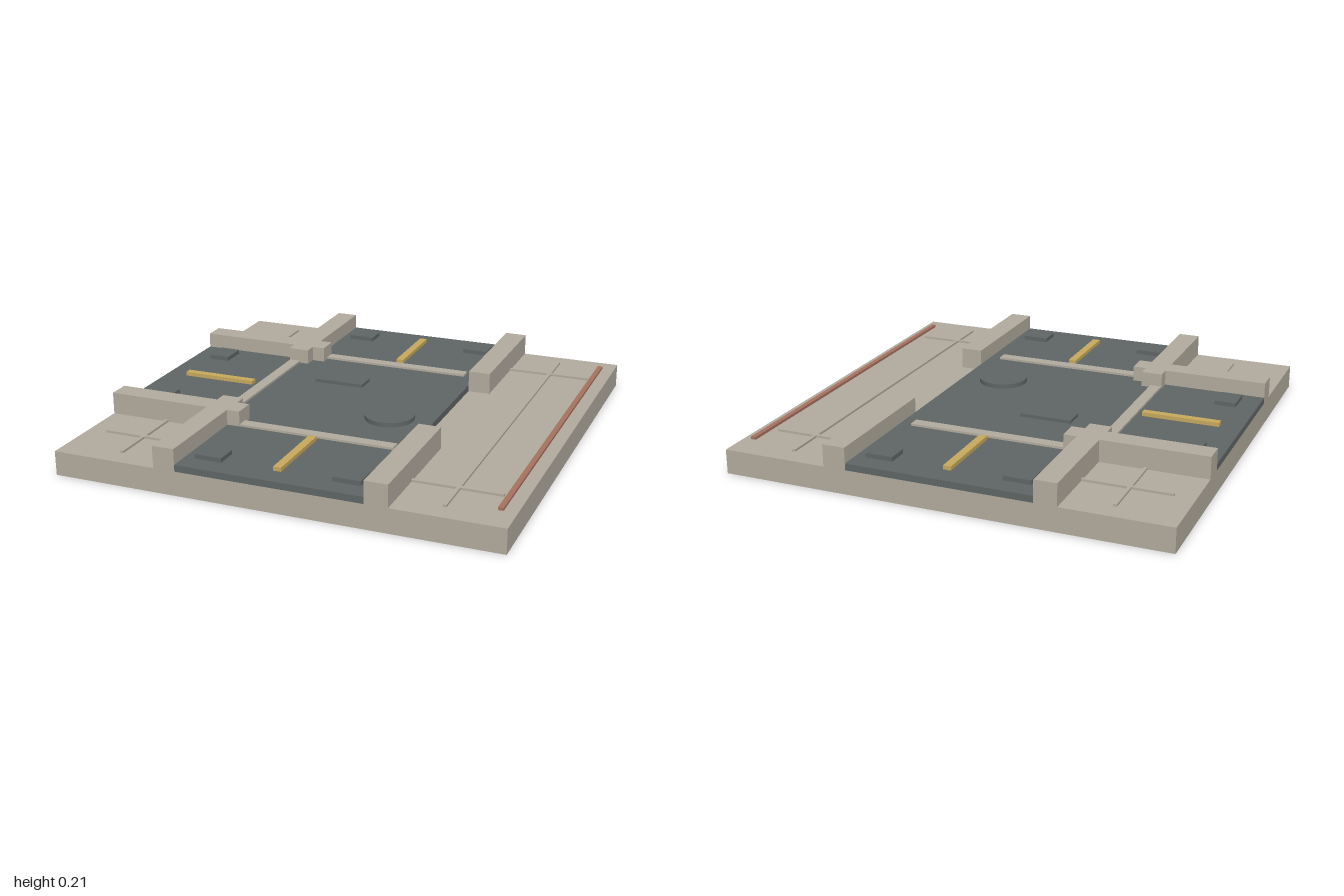
import * as THREE from 'three';

const mat = (name, color) => {
  const m = new THREE.MeshStandardMaterial({ color });
  m.name = name;
  return m;
};

export function createModel() {
  const model = new THREE.Group();
  model.name = 'roadJunctionTile';
  const concrete = mat('concrete', 0xb1aa9d);
  const asphalt = mat('asphalt', 0x5f6465);
  const yellow = mat('yellowPaint', 0xc7a95c);
  const brick = mat('brickRed', 0xa5715f);

  const add = (name, geometry, material) => {
    const mesh = new THREE.Mesh(geometry, material);
    mesh.name = name;
    model.add(mesh);
    return mesh;
  };
  // Box given by its extents along x, y and z
  const box = (name, [x0, x1], [y0, y1], [z0, z1], material) => {
    const g = new THREE.BoxGeometry(x1 - x0, y1 - y0, z1 - z0);
    g.translate((x0 + x1) / 2, (y0 + y1) / 2, (z0 + z1) / 2);
    return add(name, g, material);
  };
  // Flat outline of [x, z] points raised from y0 to y1
  const slab = (name, points, y0, y1, material) => {
    const shape = new THREE.Shape(points.map(([x, z]) => new THREE.Vector2(x, -z)));
    const g = new THREE.ExtrudeGeometry(shape, { depth: y1 - y0, bevelEnabled: false });
    g.rotateX(-Math.PI / 2).translate(0, y0, 0);
    return add(name, g, material);
  };

  // Ground block and T-shaped road
  box('base', [-1, 1], [0, 0.11], [-1, 1], concrete);
  slab('road', [[-0.42, -1], [0.417, -1], [0.417, 1], [-0.42, 1],
    [-0.42, 0.42], [-1, 0.42], [-1, -0.42], [-0.42, -0.42]], 0.11, 0.14, asphalt);

  for (const s of [-1, 1]) {
    // Curbs: crossing corner on the side road, straight run opposite
    slab('cornerCurb', [[-1, 0.42], [-0.52, 0.42], [-0.52, 0.36], [-0.42, 0.36], [-0.42, 0.42],
      [-0.36, 0.42], [-0.36, 0.52], [-0.42, 0.52], [-0.42, 1], [-0.52, 1], [-0.52, 0.52], [-1, 0.52]]
      .map(([x, z]) => [x, s * z]), 0.11, 0.21, concrete);
    const span = (a, b) => (s > 0 ? [a, b] : [-b, -a]);
    box('straightCurb', [0.417, 0.52], [0.11, 0.21], span(0.36, 1), concrete);

    // Pavement ribs
    const ribY = [0.11, 0.12];
    box('cornerRibAcross', [-0.91, -0.52], ribY, span(0.717, 0.733), concrete);
    box('cornerRibAlong', [-0.733, -0.717], ribY, span(0.52, 0.91), concrete);
    box('sideRibAcross', [0.52, 0.908], ribY, span(0.717, 0.733), concrete);

    // Road markings on the main road
    box('stopLine', [-0.362, 0.36], [0.14, 0.15], span(0.465, 0.518), concrete);
    box('centreLine', [-0.018, 0.018], [0.14, 0.158], span(0.54, 0.9), yellow);

    // Raised asphalt patches
    for (const x of [-0.312, 0.308]) {
      box('mainRoadPatch', [x - 0.062, x + 0.062], [0.14, 0.16], span(0.81, 0.908), asphalt);
    }
    const z = s > 0 ? 0.308 : -0.312;
    box('sideRoadPatch', [-0.908, -0.81], [0.14, 0.16], [z - 0.062, z + 0.062], asphalt);
  }
  box('sideRibAlong', [0.712, 0.728], [0.11, 0.12], [-0.908, 0.908], concrete);

  // Side road markings
  box('sideStopLine', [-0.518, -0.465], [0.14, 0.15], [-0.362, 0.36], concrete);
  box('sideCentreLine', [-0.9, -0.545], [0.14, 0.158], [-0.018, 0.018], yellow);

  // Utility covers in the junction
  const cover = new THREE.CylinderGeometry(0.113, 0.113, 0.02, 32);
  cover.translate(0.217, 0.15, 0.178);
  add('manholeCover', cover, asphalt);
  box('drainCover', [-0.283, -0.042], [0.14, 0.155], [-0.232, -0.136], asphalt);

  // Edge strip hovering just over the pavement
  box('edgeStrip', [0.926, 0.949], [0.122, 0.134], [-0.882, 0.882], brick);

  return model;
}
